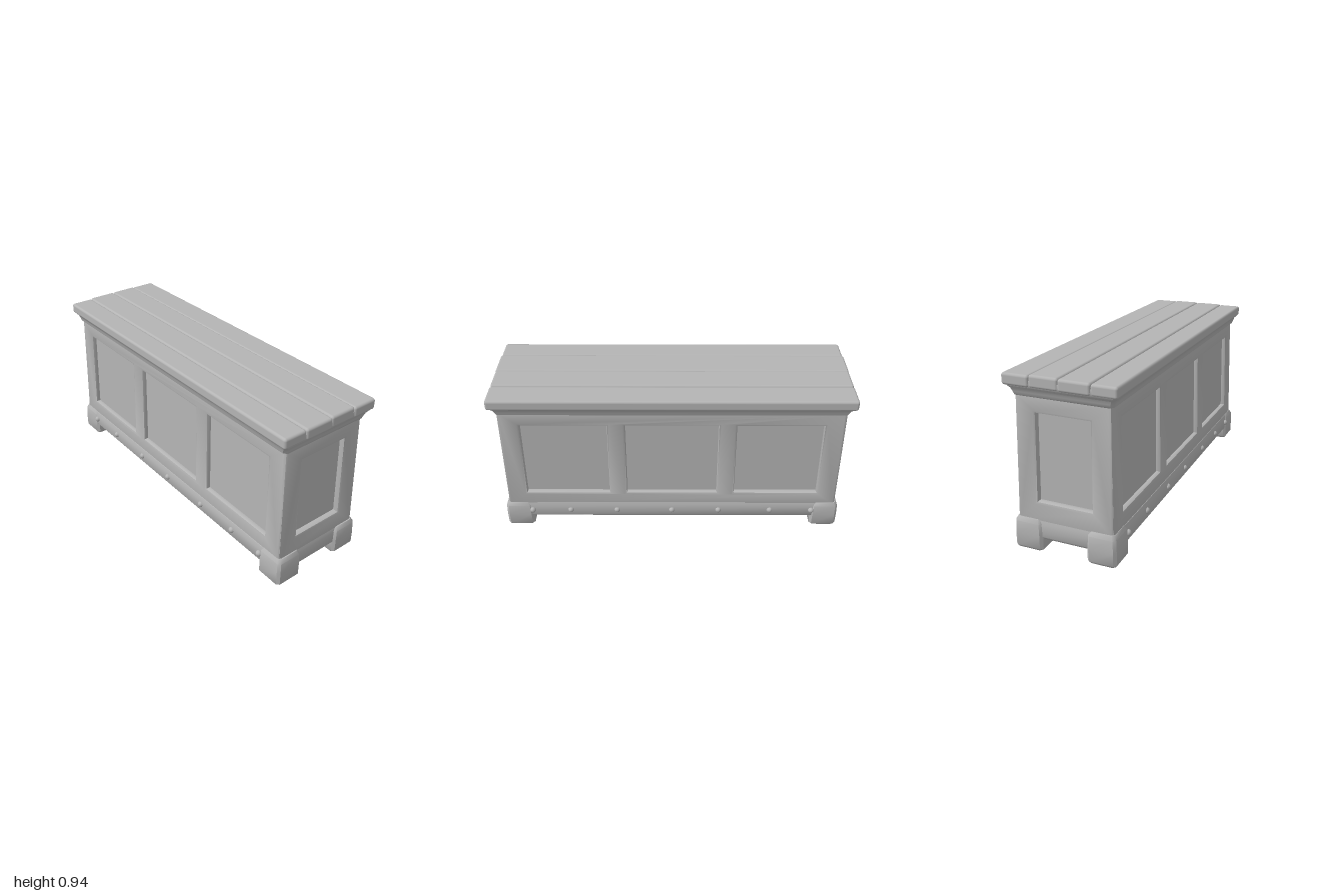
import * as THREE from 'three';
import { toCreasedNormals } from 'three/addons/utils/BufferGeometryUtils.js';
import { RoundedBoxGeometry } from 'three/addons/geometries/RoundedBoxGeometry.js';

const stone = new THREE.MeshStandardMaterial({ color: 0xb4b4b4 });
stone.name = 'plain grey';

function add(parent, name, geometry, x = 0, y = 0, z = 0) {
  const mesh = new THREE.Mesh(geometry, stone);
  mesh.name = name;
  mesh.position.set(x, y, z);
  parent.add(mesh);
  return mesh;
}

// Stack of chamfered rectangles, each level [y, half width, half depth], with end caps
function loft(levels, chamfer) {
  const pos = [], index = [];
  for (const [y, w, d] of levels) {
    const c = chamfer;
    for (const [x, z] of [[w, d - c], [w, c - d], [w - c, -d], [c - w, -d],
      [-w, c - d], [-w, d - c], [c - w, d], [w - c, d]]) pos.push(x, y, z);
  }
  const n = 8, last = (levels.length - 1) * n;
  for (let l = 0; l < levels.length - 1; l++) {
    for (let i = 0; i < n; i++) {
      const a = l * n + i, b = l * n + (i + 1) % n;
      index.push(a, b, b + n, a, b + n, a + n);
    }
  }
  for (let i = 1; i < n - 1; i++) {
    index.push(0, i + 1, i, last, last + i, last + i + 1);
  }
  const g = new THREE.BufferGeometry();
  g.setAttribute('position', new THREE.Float32BufferAttribute(pos, 3));
  g.setIndex(index);
  return toCreasedNormals(g, 0.7);
}

// Framed wall with panel openings [left, right, bottom, top], leaning inwards to the top
function framedWall(half, out, openings, shrink, lean) {
  const y0 = 0.15, y1 = 0.83, depth = 0.02, bevel = 0.014;
  const shape = new THREE.Shape([[-half, y0], [half, y0], [half, y1], [-half, y1]]
    .map(p => new THREE.Vector2(...p)));
  for (const [l, r, b, t] of openings) {
    shape.holes.push(new THREE.Path([[l, b], [l, t], [r, t], [r, b]]
      .map(p => new THREE.Vector2(...p))));
  }
  const g = new THREE.ExtrudeGeometry(shape, {
    depth, bevelThickness: bevel, bevelSize: bevel, bevelOffset: -bevel, bevelSegments: 2,
  });
  g.translate(0, 0, out - depth - bevel);
  const p = g.attributes.position;
  for (let i = 0; i < p.count; i++) {
    const k = (p.getY(i) - 0.17) / 0.65;
    p.setX(i, p.getX(i) * (1 - (shrink / half) * k));
    p.setZ(i, p.getZ(i) - lean * k);
  }
  return toCreasedNormals(g, 0.6);
}

export function createModel() {
  const model = new THREE.Group();
  model.name = 'panelledChest';

  // Recessed panels are the faces of this inner core
  add(model, 'panelCore', loft([[0.08, 0.243, 0.95], [0.83, 0.232, 0.932]], 0.01));

  // Frames around the panels
  const sidePanels = [[-0.86, -0.37, 0.25, 0.735], [-0.265, 0.265, 0.25, 0.735], [0.37, 0.86, 0.25, 0.735]];
  const endPanel = [[-0.152, 0.152, 0.27, 0.735]];
  for (const s of [1, -1]) {
    const side = add(model, s > 0 ? 'leftFrame' : 'rightFrame',
      framedWall(0.978, 0.27, sidePanels, 0.018, 0.012));
    side.rotation.y = s * Math.PI / 2;
    const end = add(model, s > 0 ? 'frontFrame' : 'backFrame',
      framedWall(0.268, 0.98, endPanel, 0.01, 0.018));
    end.rotation.y = s > 0 ? 0 : Math.PI;
  }

  // Plinth band with a sloping upper edge
  add(model, 'plinth', loft([
    [0.068, 0.272, 0.98], [0.08, 0.28, 0.988], [0.145, 0.279, 0.986],
    [0.168, 0.272, 0.98], [0.178, 0.255, 0.965],
  ], 0.012));

  // Corner feet
  const footLevels = [
    [0, 0.072, 0.072], [0.012, 0.08, 0.08], [0.085, 0.08, 0.08],
    [0.15, 0.077, 0.077], [0.172, 0.066, 0.066],
  ];
  for (const x of [-1, 1]) {
    for (const z of [-1, 1]) add(model, 'foot', loft(footLevels, 0.014), x * 0.206, 0, z * 0.92);
  }

  // Rivets along both long sides
  const rivet = new THREE.SphereGeometry(0.018, 10, 8);
  for (const x of [-1, 1]) {
    for (const z of [-0.84, -0.59, -0.28, 0, 0.33, 0.61, 0.84]) {
      add(model, 'rivet', rivet, x * (Math.abs(z) > 0.8 ? 0.281 : 0.277), 0.12, z);
    }
  }

  // Moulding under the lid
  add(model, 'moulding', loft([
    [0.812, 0.255, 0.955], [0.82, 0.27, 0.967], [0.838, 0.276, 0.973],
    [0.856, 0.282, 0.98], [0.868, 0.294, 0.989], [0.885, 0.302, 0.995], [0.905, 0.3, 0.993],
  ], 0.016));

  // Lid planks, each slightly different in height and length
  const planks = [[-0.306, -0.168, 0.932, 0.996], [-0.17, 0.001, 0.935, 1],
    [-0.001, 0.157, 0.937, 0.997], [0.155, 0.306, 0.933, 1]];
  for (const [l, r, top, halfLength] of planks) {
    add(model, 'lidPlank', new RoundedBoxGeometry(r - l, top - 0.872, halfLength * 2, 3, 0.014),
      (l + r) / 2, (top + 0.872) / 2, 0);
  }
  return model;
}
